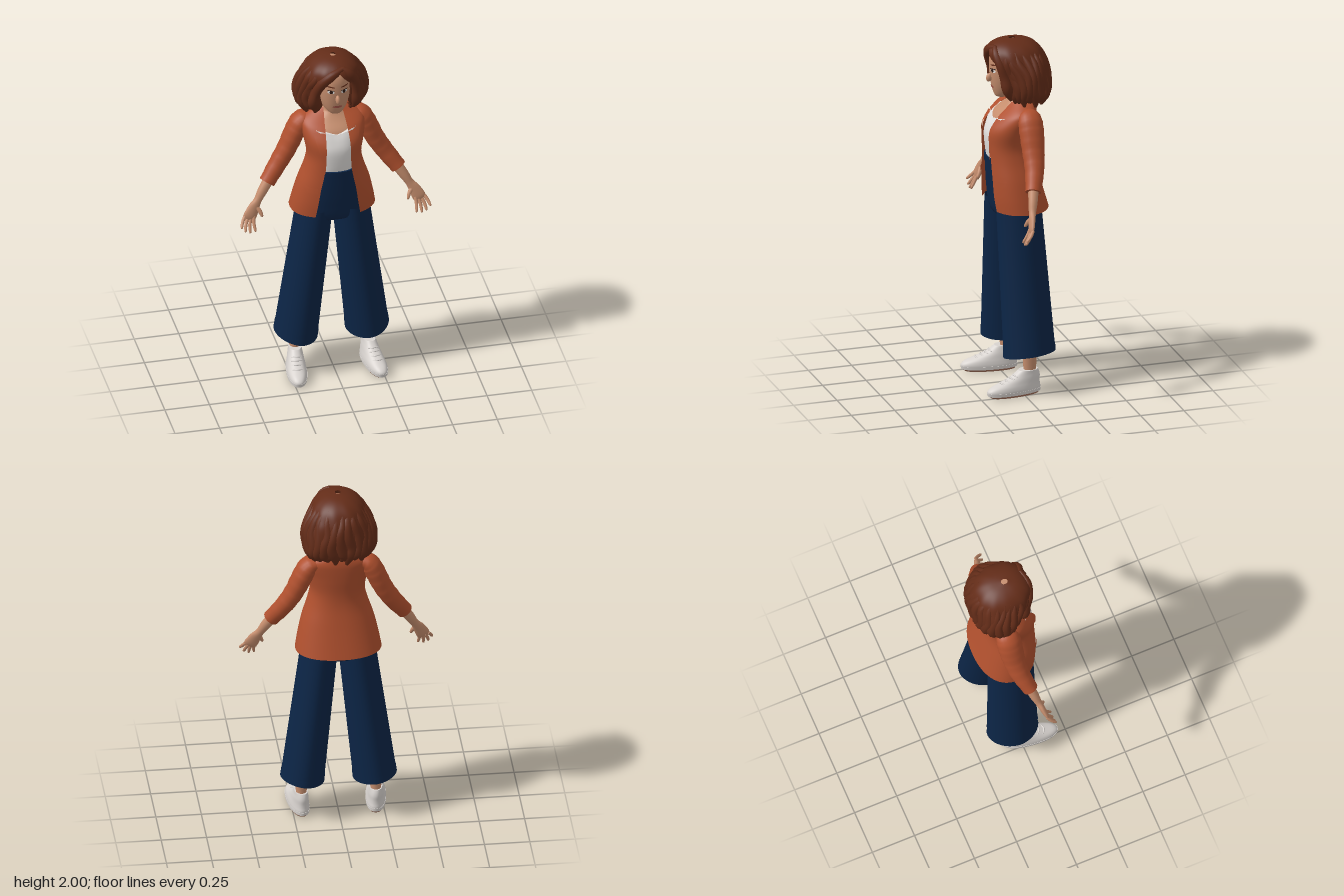
import * as THREE from 'three';

const mat = (name, color, side = THREE.FrontSide) => {
  const m = new THREE.MeshStandardMaterial({ color, side });
  m.name = name;
  return m;
};

// Catmull-Rom smoothing of rows of numbers
function smooth(keys, steps = 4) {
  const out = [], last = keys.length - 1, K = i => keys[Math.min(last, Math.max(0, i))];
  for (let i = 0; i < last; i++) for (let s = 0; s < steps; s++) {
    const t = s / steps;
    out.push(K(i).map((b, c) => {
      const a = K(i - 1)[c], d = K(i + 1)[c], e = K(i + 2)[c];
      return 0.5 * (2 * b + (d - a) * t + (2 * a - 5 * b + 4 * d - e) * t * t + (3 * b - a - 3 * d + e) * t ** 3);
    }));
  }
  out.push(keys[last].slice());
  return out;
}

// Skin a list of point rings; closed rings may be capped
function loft(name, material, rings, closed = true, caps = true) {
  const n = rings[0].length, pos = [], idx = [];
  rings.forEach(r => r.forEach(p => pos.push(p.x, p.y, p.z)));
  const span = closed ? n : n - 1;
  for (let i = 0; i < rings.length - 1; i++) for (let j = 0; j < span; j++) {
    const a = i * n + j, b = i * n + (j + 1) % n;
    idx.push(a, b, b + n, a, b + n, a + n);
  }
  if (closed && caps) [rings[0], rings[rings.length - 1]].forEach((r, end) => {
    const base = pos.length / 3, c = new THREE.Vector3();
    r.forEach(p => { pos.push(p.x, p.y, p.z); c.addScaledVector(p, 1 / n); });
    pos.push(c.x, c.y, c.z);
    for (let j = 0; j < n; j++) {
      const k = base + (j + 1) % n;
      if (end) idx.push(base + n, base + j, k); else idx.push(base + n, k, base + j);
    }
  });
  const g = new THREE.BufferGeometry();
  g.setAttribute('position', new THREE.Float32BufferAttribute(pos, 3));
  g.setIndex(idx);
  g.computeVertexNormals();
  const m = new THREE.Mesh(g, material);
  m.name = name;
  return m;
}

// Horizontal superellipse ring from a row [y, zFront, zBack, halfWidth, frontGap, centreX]
const P = 2.25;
function ring([y, zf, zb, rx, gap = 0, cx = 0], { n = 40, open = false, p = P, wave = () => 1, lift = () => 0 } = {}) {
  const t0 = open ? Math.asin(Math.min(0.97, Math.max(0, gap / rx)) ** (p / 2)) : 0;
  const cz = (zf + zb) / 2, rz = (zf - zb) / 2, pts = [];
  const pw = v => Math.sign(v) * Math.abs(v) ** (2 / p);
  for (let j = 0; j < (open ? n + 1 : n); j++) {
    const t = t0 + (2 * Math.PI - 2 * t0) * j / n, w = wave(t, y), u = pw(Math.sin(t)), v = pw(Math.cos(t));
    pts.push(new THREE.Vector3(cx + rx * w * u, y + lift(u, v, y), cz + rz * w * v));
  }
  return pts;
}

// Tapered limb through [x, y, z, depthRadius, widthRadius]; s mirrors it
function limb(name, material, keys, s = 1, steps = 4, n = 14, wrinkle = 0) {
  const rows = smooth(keys, steps), C = rows.map(r => new THREE.Vector3(r[0] * s, r[1], r[2]));
  return loft(name, material, rows.map((r, i) => {
    const T = C[Math.min(i + 1, C.length - 1)].clone().sub(C[Math.max(i - 1, 0)]).normalize();
    const u = new THREE.Vector3(0, 0, 1).addScaledVector(T, -T.z).normalize();
    const v = T.clone().cross(u), k = 1 + wrinkle * Math.sin(i * 2.1);
    return Array.from({ length: n }, (_, j) => {
      const t = j / n * Math.PI * 2;
      return C[i].clone().addScaledVector(u, Math.cos(t) * r[3] * k).addScaledVector(v, Math.sin(t) * r[4] * k);
    });
  }));
}

// Row of a profile at height y, and the front surface there
function at(rows, y) {
  let i = 0;
  while (i < rows.length - 2 && rows[i + 1][0] < y) i++;
  const f = THREE.MathUtils.clamp((y - rows[i][0]) / (rows[i + 1][0] - rows[i][0]), 0, 1);
  return rows[i].map((v, c) => v + (rows[i + 1][c] - v) * f);
}
function zAt(rows, x, y) {
  const [, zf, zb, rx] = at(rows, y);
  return (zf + zb) / 2 + (zf - zb) / 2 * (1 - Math.min(1, Math.abs(x / rx)) ** P) ** (1 / P);
}

// Thin patch of cloth lying on a front surface
function patch(name, material, rows, y0, y1, inner, outer, s, off = 0.007) {
  return loft(name, material, Array.from({ length: 13 }, (_, i) => {
    const y = y0 + (y1 - y0) * i / 12, a = inner(y) * s, b = outer(y) * s;
    return Array.from({ length: 6 }, (_, j) => {
      const x = Math.min(a, b) + Math.abs(b - a) * j / 5;
      return new THREE.Vector3(x, y, zAt(rows, x, y) + off);
    });
  }), false);
}

// Thin oval painted on a front surface
function oval(name, material, rows, x, y, rx, ry, off, tilt = 0) {
  const g = new THREE.CircleGeometry(1, 18), p = g.attributes.position;
  for (let i = 0; i < p.count; i++) {
    const X = x + p.getX(i) * rx, Y = y + p.getY(i) * ry + p.getX(i) * tilt;
    p.setXYZ(i, X, Y, zAt(rows, X, Y) + off);
  }
  g.computeVertexNormals();
  const m = new THREE.Mesh(g, material);
  m.name = name;
  return m;
}

export function createModel() {
  const D = THREE.DoubleSide, model = new THREE.Group();
  const skin = mat('skin', 0xc68e6e), hair = mat('auburn hair', 0x632c18, D), rust = mat('rust jacket', 0xb0502e, D);
  const navy = mat('navy trousers', 0x0c2546, D), white = mat('white top', 0xe2dfdc), shoeMat = mat('shoe white', 0xd8d3cf);
  const soleMat = mat('sole tan', 0xa3705a), lip = mat('lips', 0xa9574a), dark = mat('dark brown', 0x2e1a13);
  const add = (...m) => model.add(...m);

  // Neck and chest
  add(loft('neck', skin, smooth([[1.48, .12, -.1, .14], [1.55, .098, -.105, .14], [1.6, .05, -.105, .11],
    [1.635, .022, -.09, .06], [1.66, .015, -.075, .047], [1.74, .02, -.075, .045]]).map(r => ring(r))));

  // Top with a scooped neckline
  add(loft('top', white, smooth([[1.29, .126, -.09, .13], [1.36, .138, -.09, .128], [1.45, .144, -.1, .14],
    [1.51, .126, -.105, .145], [1.55, .105, -.11, .146]]).map(r =>
    ring(r, { lift: (u, v, y) => y > 1.48 ? (Math.abs(u) - .2) * .5 * (y - 1.48) : 0 }))));

  // Jacket body, open at the front
  const jacket = smooth([[1.04, .14, -.195, .237, .125], [1.12, .148, -.172, .222, .112], [1.22, .15, -.145, .198, .097],
    [1.32, .15, -.122, .165, .077], [1.4, .152, -.117, .15, .07], [1.49, .147, -.125, .165, .068],
    [1.56, .1, -.13, .178, .064], [1.6, .058, -.13, .17, .06], [1.635, .02, -.122, .122, .055], [1.66, .0, -.105, .072, .05]], 5);
  add(loft('jacket body', rust, jacket.map(r => ring(r, { open: true, n: 56 })), false));
  const gap = y => at(jacket, y)[4];

  // Trouser hips
  add(loft('trouser hips', navy, smooth([[.97, .03, -.06, .1], [1.0, .1, -.13, .18], [1.1, .12, -.145, .195],
    [1.2, .13, -.128, .175], [1.3, .137, -.105, .146], [1.325, .139, -.1, .14]]).map(r => ring(r))));
  add(loft('waistband', navy, [[1.285, .14, -.104, .15], [1.325, .143, -.103, .144]].map(r => ring(r))));

  // Head
  const face = smooth([[1.666, .075, .02, .02], [1.675, .09, -.02, .04], [1.7, .1, -.06, .062], [1.74, .11, -.1, .08],
    [1.79, .117, -.12, .091], [1.84, .12, -.13, .095], [1.89, .118, -.13, .09], [1.93, .1, -.12, .075], [1.955, .05, -.08, .03]]);
  add(loft('head', skin, face.map(r => ring(r))));
  const nose = new THREE.Mesh(new THREE.SphereGeometry(1, 14, 10), skin);
  nose.name = 'nose';
  nose.scale.set(.013, .026, .018);
  nose.position.set(0, 1.782, .123);
  nose.rotation.x = -.3;
  add(nose, oval('mouth', lip, face, 0, 1.729, .027, .008, .003));

  // Hair mass
  const hairRows = smooth([[1.665, .0, -.16, .12, .085], [1.672, .03, -.19, .17, .088], [1.71, .05, -.2, .19, .088],
    [1.76, .065, -.203, .195, .088], [1.81, .085, -.203, .19, .088], [1.86, .108, -.198, .174, .08], [1.9, .133, -.185, .155, .05],
    [1.94, .13, -.163, .134, .015], [1.97, .105, -.13, .102, 0], [1.99, .065, -.085, .06, 0], [2.0, .012, -.025, .015, 0]]);
  add(loft('hair cap', hair, hairRows.map(r => ring(r, {
    open: true, n: 90,
    wave: (t, y) => 1 + .022 * Math.min(1, (2 - y) * 8) * Math.sin(11 * t + 20 * y)
  })), false));

  // Wavy locks hanging around the head
  const COUNT = 21;
  for (let i = 0; i < COUNT; i++) {
    const t = .64 + (2 * Math.PI - 1.28) * i / (COUNT - 1), low = 1.652 + .014 * Math.sin(i * 2.7);
    add(limb('hair lock', hair, [[1.95, .008], [1.89, .021], [1.82, .026], [1.75, .029], [1.695, .027], [low, .008]].map(([y, r], k) => {
      const [, zf, zb, rx] = at(hairRows, Math.max(y, 1.69)), a = t + .07 * Math.sin(k * 1.9 + i * 1.3);
      const f = k === 5 ? .86 : .92 + .025 * Math.sin(k * 2 + i);
      return [rx * f * Math.sin(a), y, (zf + zb) / 2 + (zf - zb) / 2 * f * Math.cos(a), r, r * 1.15];
    }), 1, 4, 10));
  }
  // Side-parted fringe framing the face
  add(limb('fringe right', hair, [[.035, 1.965, .1, .012, .012], [-.03, 1.935, .117, .022, .026], [-.085, 1.88, .102, .025, .028],
    [-.112, 1.81, .072, .03, .026], [-.122, 1.74, .058, .03, .032], [-.108, 1.675, .035, .008, .01]]));
  add(limb('fringe left', hair, [[.03, 1.968, .1, .012, .012], [.066, 1.935, .107, .022, .024], [.1, 1.88, .092, .025, .026],
    [.114, 1.81, .07, .03, .025], [.122, 1.74, .058, .03, .032], [.108, 1.675, .035, .008, .01]]));

  for (const s of [1, -1]) {
    // Eyes and brows
    add(oval('eye white', white, face, s * .037, 1.83, .019, .0105, .003), oval('iris', dark, face, s * .036, 1.83, .009, .0095, .005),
      oval('upper lash', dark, face, s * .038, 1.8415, .021, .0028, .0055, s * .002), oval('brow', hair, face, s * .04, 1.864, .024, .004, .004, s * .003));

    // Lapel, collar and pocket flap
    add(patch('lapel', rust, jacket, 1.33, 1.56, gap, y => gap(y) + .002 + .062 * (y - 1.33) / .23, s),
      patch('collar', rust, jacket, 1.568, 1.645, gap, y => gap(y) + .045 - (y - 1.568) * .4, s),
      patch('pocket flap', rust, jacket, 1.195, 1.23, () => .115, () => .178, s));

    // Sleeve, forearm and hand
    add(limb('sleeve', rust, [[.12, 1.59, -.055, .05, .035], [.165, 1.572, -.055, .066, .052], [.2, 1.51, -.055, .069, .056],
      [.245, 1.41, -.05, .062, .053], [.3, 1.32, -.038, .053, .05], [.368, 1.225, -.008, .043, .045]], s, 5, 20, .022));
    add(limb('forearm', skin, [[.34, 1.265, -.02, .03, .032], [.395, 1.18, .002, .026, .028], [.425, 1.13, .015, .02, .023],
      [.448, 1.095, .025, .017, .032], [.472, 1.05, .036, .014, .038], [.482, 1.03, .041, .008, .033]], s));
    [[.452, 1.052, .452, .968], [.468, 1.042, .481, .963], [.486, 1.04, .507, .973], [.502, 1.05, .528, .998]].forEach(([x, y, tx, ty]) =>
      add(limb('finger', skin, [[x, y, .036, .009, .01], [(x + tx) / 2 + .004, (y + ty) / 2, .055, .009, .0095],
        [tx, ty + .006, .076, .007, .007], [tx, ty, .08, .002, .002]], s, 3, 8)));
    add(limb('thumb', skin, [[.44, 1.1, .025, .012, .013], [.42, 1.075, .04, .011, .012], [.41, 1.05, .052, .008, .008], [.409, 1.043, .055, .002, .002]], s, 3, 8));

    // Wide trouser leg with a tilted hem, and a hem band
    const leg = y => {
      const f = (1.06 - y) / .84;
      return [y, .115 - .012 * f, -.14 - .048 * f, .103 + .016 * f, 0, s * (.1 + .1 * f)];
    };
    const hem = { p: 1.85, lift: (u, v, y) => (.018 * u * s - .013 * v) * Math.max(0, 1 - (y - .22) / .7) };
    add(loft('trouser leg', navy, Array.from({ length: 13 }, (_, i) => ring(leg(.225 + .835 * i / 12), hem)), true, false));
    add(loft('hem band', navy, [.225, .265].map(y => {
      const r = leg(y);
      return ring([y, r[1] + .002, r[2] - .002, r[3] + .002, 0, r[5]], hem);
    }), true, false));

    // Ankle
    add(limb('ankle', skin, [[.205, .06, -.045, .036, .032], [.205, .14, -.042, .036, .03], [.203, .25, -.042, .042, .036], [.2, .42, -.042, .05, .045]], s));

    // Shoe, turned slightly outward
    const shoe = new THREE.Group();
    shoe.name = 'shoe';
    shoe.position.set(s * .21, 0, 0);
    shoe.rotation.y = s * .12;
    const shoeRows = smooth([[.014, .207, -.1, .054], [.035, .211, -.103, .055], [.055, .19, -.1, .052], [.075, .14, -.099, .047],
      [.1, .08, -.1, .042], [.12, .048, -.096, .038], [.138, .025, -.088, .036]]);
    shoe.add(loft('sole', soleMat, [[0, .19, -.09, .048], [.014, .207, -.1, .054]].map(r => ring(r))),
      loft('shoe upper', shoeMat, shoeRows.map(r => ring(r))),
      loft('midsole rim', shoeMat, [[.012, .209, -.103, .056], [.03, .213, -.105, .057]].map(r => ring(r))));
    [.078, .09, .102, .114].forEach(y => {
      const z = zAt(shoeRows, 0, y);
      shoe.add(limb('lace', shoeMat, [[-.028, y - .006, z - .012, .005, .004], [0, y + .002, z + .002, .005, .004], [.028, y - .006, z - .012, .005, .004]], 1, 3, 8));
    });
    add(shoe);
  }
  model.name = 'woman in jacket';
  return model;
}
